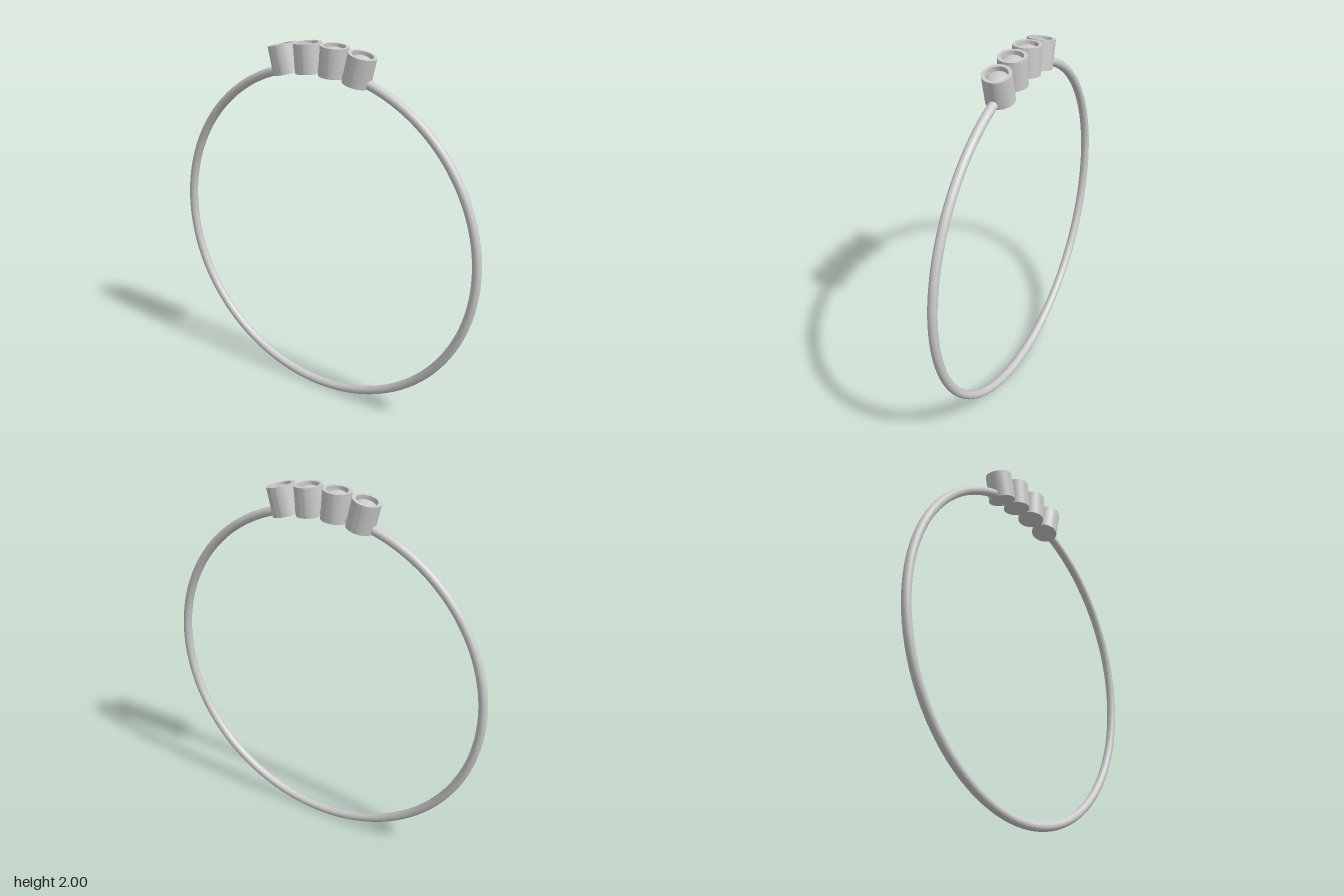
import * as THREE from 'three';
import { toCreasedNormals } from 'three/addons/utils/BufferGeometryUtils.js';

const CENTER_Y = 0.947;      // centre of the band
const BAND_R = 0.923;        // centreline radius of the band
const WIRE_R = 0.024;
const CUP_R = 0.0735;
const BORE_R = 0.056;
const CUP_BASE = 0.898;      // distance of cup floor and rim from the band centre
const CUP_TOP = 1.05;

export function createModel() {
  const model = new THREE.Group();
  model.name = 'ring';
  const material = new THREE.MeshStandardMaterial({ color: 0xcccccc });
  const add = (parent, geometry, name) => {
    const mesh = new THREE.Mesh(geometry, material);
    mesh.name = name;
    parent.add(mesh);
    return mesh;
  };

  // Round wire band
  add(model, new THREE.TorusGeometry(BAND_R, WIRE_R, 24, 160), 'band').position.y = CENTER_Y;

  // Bezel cup: closed base, straight wall, flat rim and a shallow bore
  const height = CUP_TOP - CUP_BASE;
  const floor = height - 0.045;
  const cupProfile = [
    [0, 0], [CUP_R, 0], [CUP_R, height], [BORE_R, height], [BORE_R, floor], [0, floor],
  ].map(([x, y]) => new THREE.Vector2(x, y));
  const cupGeometry = toCreasedNormals(new THREE.LatheGeometry(cupProfile, 48), 0.6);

  // Domed stone sitting just below the rim
  const stoneProfile = [];
  for (let i = 0; i <= 12; i++) {
    const a = (1 - i / 12) * Math.PI / 2;
    stoneProfile.push(new THREE.Vector2(BORE_R * Math.sin(a), height - 0.033 + 0.027 * Math.cos(a)));
  }
  const stoneGeometry = new THREE.LatheGeometry(stoneProfile, 48);

  // Four settings fanned along the top of the band
  [-13.5, -4.5, 4.5, 13.5].forEach((degrees, i) => {
    const angle = THREE.MathUtils.degToRad(degrees);
    const setting = new THREE.Group();
    setting.name = `setting${i + 1}`;
    setting.position.set(CUP_BASE * Math.sin(angle), CENTER_Y + CUP_BASE * Math.cos(angle), 0);
    setting.rotation.z = -angle;
    add(setting, cupGeometry, 'bezelCup');
    add(setting, stoneGeometry, 'stone');
    model.add(setting);
  });

  return model;
}
